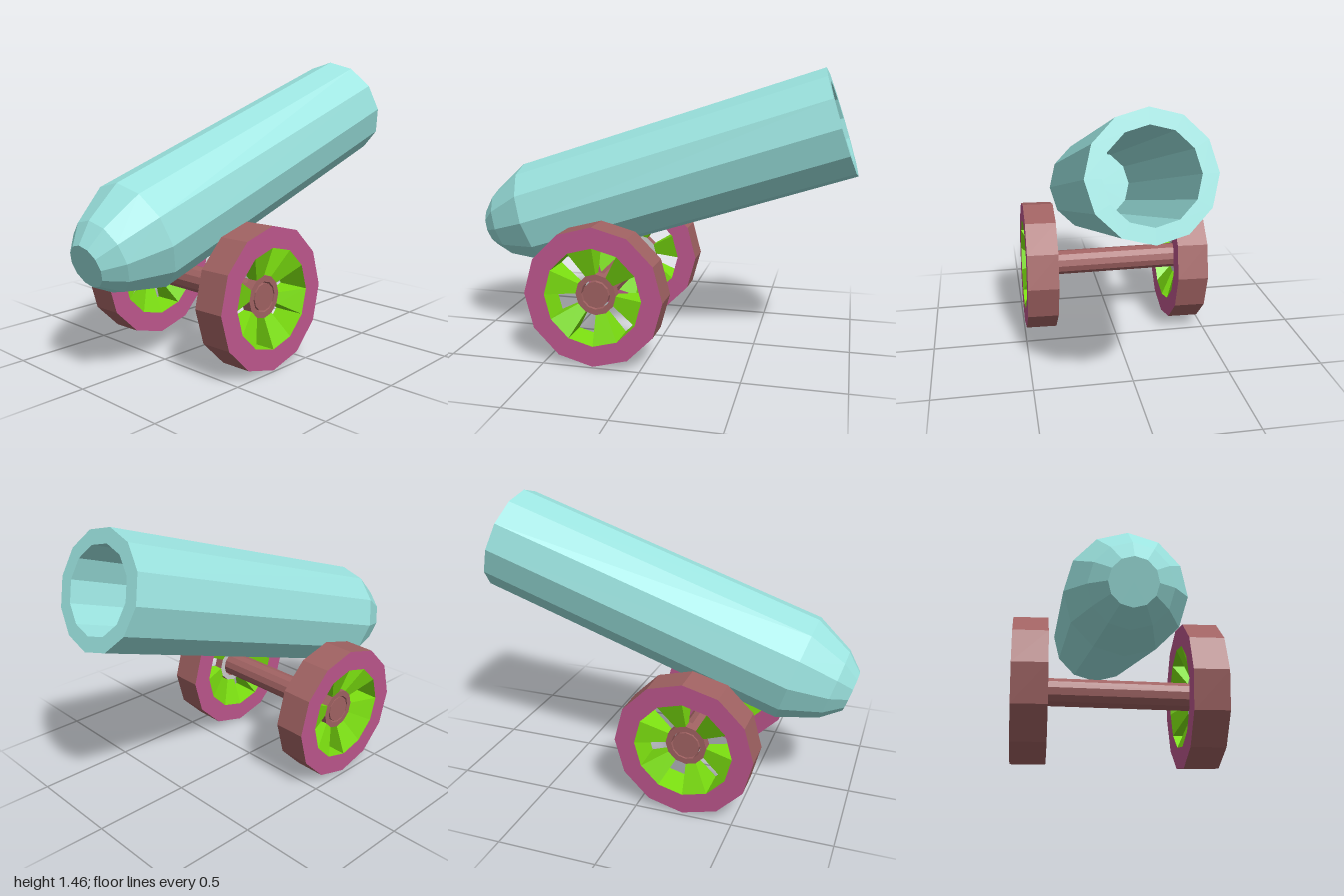
import * as THREE from 'three';

const SIDES = 12;
const mat = (color) => new THREE.MeshStandardMaterial({ color, flatShading: true });
const teal = mat(0x9be3df), brown = mat(0xa06262), pink = mat(0xbc568c), green = mat(0x7ce010), grey = mat(0xcccccc);

const RIM = 0.355, INNER = 0.25, HUB = 0.105, BORE = 0.076; // wheel radii
const HALF = 0.0825, HUB_HALF = 0.025; // wheel half widths

function part(name, geometry, material) {
  const mesh = new THREE.Mesh(geometry, material);
  mesh.name = name;
  return mesh;
}

function lathe(points) {
  return new THREE.LatheGeometry(points.map(([r, y]) => new THREE.Vector2(r, y)), SIDES);
}

// Wedge spoke filling one sector, thick at the rim and thin at the hub
function spokeGeometry(a0, a1) {
  const v = [];
  for (const [r, h] of [[HUB, HUB_HALF], [INNER, HALF]])
    for (const a of [a0, a1])
      for (const z of [-h, h]) v.push(r * Math.cos(a), r * Math.sin(a), z);
  const g = new THREE.BufferGeometry();
  g.setAttribute('position', new THREE.Float32BufferAttribute(v, 3));
  g.setIndex([
    1, 5, 7, 1, 7, 3, // outboard
    0, 2, 6, 0, 6, 4, // inboard
    0, 4, 5, 0, 5, 1, // side
    2, 3, 7, 2, 7, 6, // other side
  ]);
  const flat = g.toNonIndexed();
  flat.computeVertexNormals();
  return flat;
}

// Wheel with its axis along z and its outboard face at +z
function createWheel(name) {
  const wheel = new THREE.Group();
  wheel.name = name;
  const ring = (n, profile, m) => {
    const mesh = part(n, lathe(profile).rotateX(Math.PI / 2), m);
    wheel.add(mesh);
  };
  ring('tread', [[RIM, -HALF], [RIM, HALF]], brown);
  ring('rimInside', [[INNER, HALF], [INNER, -HALF]], green);
  ring('rimFaceOuter', [[RIM, HALF], [INNER, HALF]], pink);
  ring('rimFaceInner', [[INNER, -HALF], [RIM, -HALF]], pink);
  ring('hub', [[HUB, -HUB_HALF], [HUB, HUB_HALF], [BORE, HUB_HALF], [BORE, -HUB_HALF]], brown);
  ring('hubInnerFace', [[BORE, -HUB_HALF], [HUB, -HUB_HALF]], grey);
  const step = (Math.PI * 2) / SIDES;
  for (let k = 1; k < SIDES; k += 2)
    wheel.add(part('spoke', spokeGeometry(k * step, (k + 1) * step), green));
  return wheel;
}

export function createModel() {
  const model = new THREE.Group();
  model.name = 'cannon';

  // Barrel: rounded breech, straight body, open bore
  const barrel = part('barrel', lathe([
    [0, 0], [0.108, 0], [0.188, 0.088], [0.28, 0.287],
    [0.28, 1.978], [0.208, 1.978], [0.208, 0.3], [0, 0.3],
  ]), teal);
  barrel.position.set(-0.965, 0.572, 0.01);
  barrel.rotation.z = THREE.MathUtils.degToRad(18.5 - 90);
  model.add(barrel);

  // Axle
  const axle = part('axle', new THREE.CylinderGeometry(0.068, 0.068, 0.86, SIDES).rotateX(Math.PI / 2), brown);
  axle.position.set(-0.24, 0.358, 0);
  model.add(axle);

  // Wheels, leaning very slightly
  for (const side of [1, -1]) {
    const mount = new THREE.Group();
    mount.name = side > 0 ? 'leftWheelMount' : 'rightWheelMount';
    const wheel = createWheel(side > 0 ? 'leftWheel' : 'rightWheel');
    if (side < 0) wheel.rotation.y = Math.PI;
    mount.add(wheel);
    mount.position.set(-0.24, 0.358, side * 0.405);
    mount.rotation.x = -0.02;
    model.add(mount);
  }
  return model;
}
